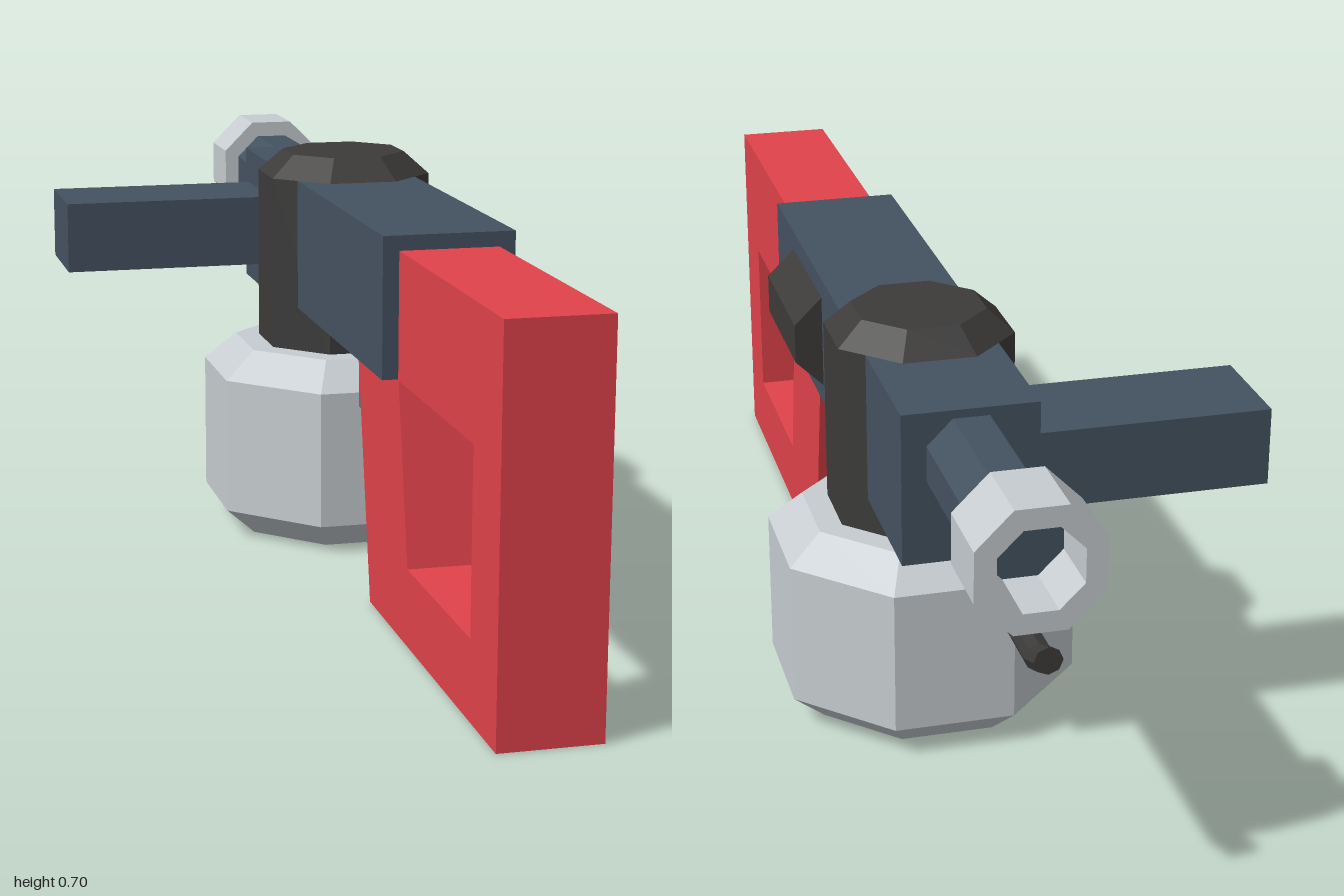
import * as THREE from 'three';

const mat = (color) => new THREE.MeshStandardMaterial({ color, flatShading: true });
const CX = 0.127; // centre line of the main body
const DRUM_Z = -0.222;
const BARREL_Y = 0.58;
const OCT = 1 / Math.cos(Math.PI / 8); // flat-to-flat radius -> corner radius

export function createModel() {
  const group = new THREE.Group();
  const blue = mat(0x445260);
  const red = mat(0xe0424a);
  const black = mat(0x3c3b3a);
  const steel = mat(0xc6ccd0);
  const guardBlue = mat(0x567088);

  const add = (name, geometry, material) => {
    const mesh = new THREE.Mesh(geometry, material);
    mesh.name = name;
    group.add(mesh);
    return mesh;
  };
  // Box given by its limits on each axis
  const box = (name, material, [x0, x1], [y0, y1], [z0, z1]) =>
    add(name, new THREE.BoxGeometry(x1 - x0, y1 - y0, z1 - z0)
      .translate((x0 + x1) / 2, (y0 + y1) / 2, (z0 + z1) / 2), material);
  // Octagonal turned form with flats facing the axes; profile is [radius, height]
  const octagon = (profile) => new THREE.LatheGeometry(
    profile.map(([r, y]) => new THREE.Vector2(r * OCT, y)), 8, Math.PI / 8);
  const points = (list) => list.map(([x, y]) => new THREE.Vector2(x, y));

  // Receiver: long rear block and slightly deeper front block
  box('receiver', blue, [0.017, 0.238], [0.43, 0.665], [-0.32, 0.465]);
  box('frontBlock', blue, [0.017, 0.238], [0.41, 0.665], [-0.57, -0.32]);
  box('sideHandle', blue, [-0.372, 0.017], [0.47, 0.6], [-0.545, -0.355]);

  // Stock and slanted grip as one loop, drawn in (z, y)
  const stock = new THREE.Shape(points([
    [0.3, 0], [1, 0], [1, 0.64], [0.46, 0.64], [0.46, 0.43], [0.21, 0.43]]));
  stock.holes.push(new THREE.Path(points([
    [0.53, 0.13], [0.468, 0.428], [0.87, 0.428], [0.87, 0.13]])));
  add('stockAndGrip', new THREE.ExtrudeGeometry(stock, { depth: 0.167, bevelEnabled: false })
    .rotateY(-Math.PI / 2).translate(0.211, 0, 0), red);

  // Trigger guard
  box('guardFront', guardBlue, [0.09, 0.164], [0.28, 0.43], [0.045, 0.075]);
  box('guardBottom', guardBlue, [0.09, 0.164], [0.28, 0.31], [0.075, 0.26]);

  // Bevelled side cover
  const cover = new THREE.Shape(points([
    [0.23, 0.465], [0.238, 0.465], [0.287, 0.513], [0.287, 0.582], [0.238, 0.63], [0.23, 0.63]]));
  add('sideCover', new THREE.ExtrudeGeometry(cover, { depth: 0.26, bevelEnabled: false })
    .translate(0, 0, 0.043), black);

  // Tank and its socket through the receiver
  add('tank', octagon([[0, 0], [0.189, 0], [0.245, 0.052], [0.245, 0.3], [0.189, 0.35], [0, 0.35]])
    .translate(CX, 0, DRUM_Z), steel);
  add('tankSocket', octagon([[0, 0.34], [0.148, 0.34], [0.148, 0.665], [0.105, 0.705], [0, 0.705]])
    .translate(CX, 0, DRUM_Z), black);

  // Barrel and hollow nozzle, turned to point backwards
  add('barrel', octagon([[0, 0.55], [0.071, 0.55], [0.071, 0.85], [0, 0.85]])
    .rotateX(-Math.PI / 2).translate(CX, BARREL_Y, 0), blue);
  add('nozzle', octagon([[0.06, 0.83], [0.098, 0.83], [0.098, 0.96], [0.065, 0.96], [0.065, 0.84]])
    .rotateX(-Math.PI / 2).translate(CX, BARREL_Y + 0.002, 0), steel);

  // Pilot pipe, with its tip lifted upward
  const pipe = new THREE.CylinderGeometry(0.022, 0.022, 0.45, 8, 9)
    .rotateX(-Math.PI / 2).translate(CX, 0.44, -0.775);
  const pos = pipe.attributes.position;
  for (let i = 0; i < pos.count; i++) {
    const lift = Math.max(0, -0.949 - pos.getZ(i)) * 0.4;
    pos.setY(i, pos.getY(i) + lift);
  }
  pipe.computeVertexNormals();
  add('pilotPipe', pipe, black);

  return group;
}
